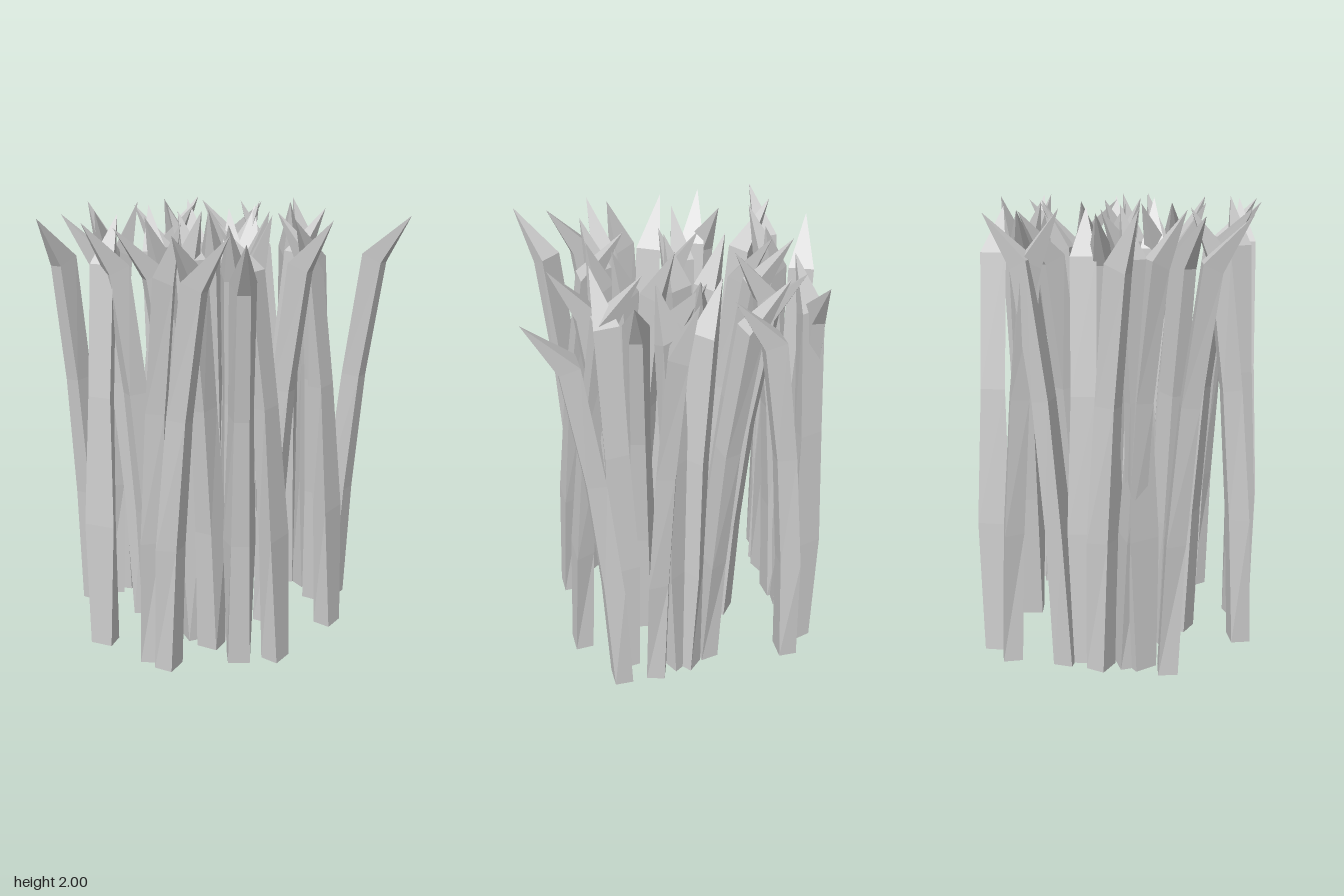
import * as THREE from 'three';

const material = new THREE.MeshStandardMaterial({ color: 0xcccccc, flatShading: true });

// Cross-sections from the ground up:
// height, upper face width, under face width, thickness, share of the lean, tilt
const RINGS = [
  [0, 0.105, 0.1, 0.085, 0, 0],
  [0.6, 0.145, 0.08, 0.085, 0.08, 0],
  [1.2, 0.108, 0.065, 0.08, 0.23, 0.01],
  [1.78, 0.112, 0.055, 0.08, 0.45, 0.04],
];

// Each blade: x, z of the rear edge of its foot, then x, z of its pointed tip
const OUTER_BLADES = [
  [-0.21, -0.60, -0.57, -0.545], [0.16, -0.58, 0.53, -0.54], [0.535, -0.525, 0.54, -0.15],
  [0.115, -0.59, 0.15, -0.265], [0.53, 0.29, 0.54, 0.67], [-0.25, 0.32, -0.55, 0.57],
  [-0.585, -0.235, -0.30, -0.32], [-0.53, 0.09, -0.47, 0.43], [-0.54, -0.01, -0.44, 0.16],
  [-0.16, 0.51, -0.175, 0.14], [0.265, 0.52, 0.25, 0.15], [-0.16, -0.60, -0.025, -0.45],
  [0.08, -0.585, -0.13, -0.67], [-0.03, -0.58, -0.30, -0.46], [0.475, -0.055, 0.415, -0.42],
  [0.54, 0.04, 0.37, -0.15], [0.54, 0.03, 0.385, 0.125], [0.525, 0.205, 0.59, 0],
  [0.485, 0.285, 0.11, 0.34], [0.49, -0.58, 0.22, -0.50],
];
const INNER_BLADES = [
  [-0.22, 0.16, -0.58, 0.23], [0.155, 0.155, 0.515, 0.235], [0.165, -0.215, 0.39, -0.495],
  [0.09, 0.07, 0.39, -0.08], [-0.21, 0.07, -0.55, -0.11], [-0.23, -0.16, -0.555, -0.29],
  [-0.15, -0.215, 0.055, -0.455], [-0.16, 0.17, -0.04, 0.325], [-0.09, -0.145, -0.35, -0.115],
  [-0.09, 0.18, -0.315, 0.305], [-0.18, -0.27, -0.385, -0.585], [0.075, -0.185, 0.06, -0.55],
  [0.13, -0.07, -0.02, -0.27], [0.135, -0.11, -0.05, -0.01], [0.13, -0.09, 0.39, -0.055],
  [-0.07, 0.16, 0.11, -0.02], [-0.07, 0.09, 0.065, 0.235], [-0.185, 0.10, -0.075, -0.165],
  [-0.125, -0.195, -0.11, 0], [0.10, 0.18, 0.14, 0.515],
];

// Four-sided blade, leaning from its foot toward a sharp tip
function bladeGeometry([footX, footZ, tipX, tipZ]) {
  const lean = Math.hypot(tipX - footX, tipZ - footZ);
  const dx = (tipX - footX) / lean;
  const dz = (tipZ - footZ) / lean;
  const positions = [];
  const index = [];

  for (const [y, upper, under, thickness, share, tilt] of RINGS) {
    const corners = [[-under / 2, 1], [under / 2, 1], [upper / 2, 0], [-upper / 2, 0]];
    for (const [side, front] of corners) {
      const along = share * lean + front * thickness;
      positions.push(footX + dx * along + dz * side, y - tilt * front, footZ + dz * along - dx * side);
    }
  }
  const tip = positions.length / 3;
  positions.push(tipX, 2.03 - lean * 0.18, tipZ);

  // Flat foot, four sides, pointed top
  index.push(0, 2, 1, 0, 3, 2);
  for (let k = 0; k < 4; k++) {
    const next = (k + 1) % 4;
    for (let r = 0; r < RINGS.length - 1; r++) {
      const a = r * 4 + k;
      const b = r * 4 + next;
      index.push(a, b, b + 4, a, b + 4, a + 4);
    }
    index.push(tip - 4 + k, tip - 4 + next, tip);
  }

  const indexed = new THREE.BufferGeometry();
  indexed.setAttribute('position', new THREE.Float32BufferAttribute(positions, 3));
  indexed.setIndex(index);
  const geometry = indexed.toNonIndexed();
  geometry.computeVertexNormals();
  return geometry;
}

function bladeGroup(name, blades) {
  const group = new THREE.Group();
  group.name = name;
  for (const blade of blades) {
    const mesh = new THREE.Mesh(bladeGeometry(blade), material);
    mesh.name = 'grassBlade';
    group.add(mesh);
  }
  return group;
}

export function createModel() {
  const model = new THREE.Group();
  model.name = 'grassClump';
  model.add(bladeGroup('outerBlades', OUTER_BLADES), bladeGroup('innerBlades', INNER_BLADES));
  return model;
}
